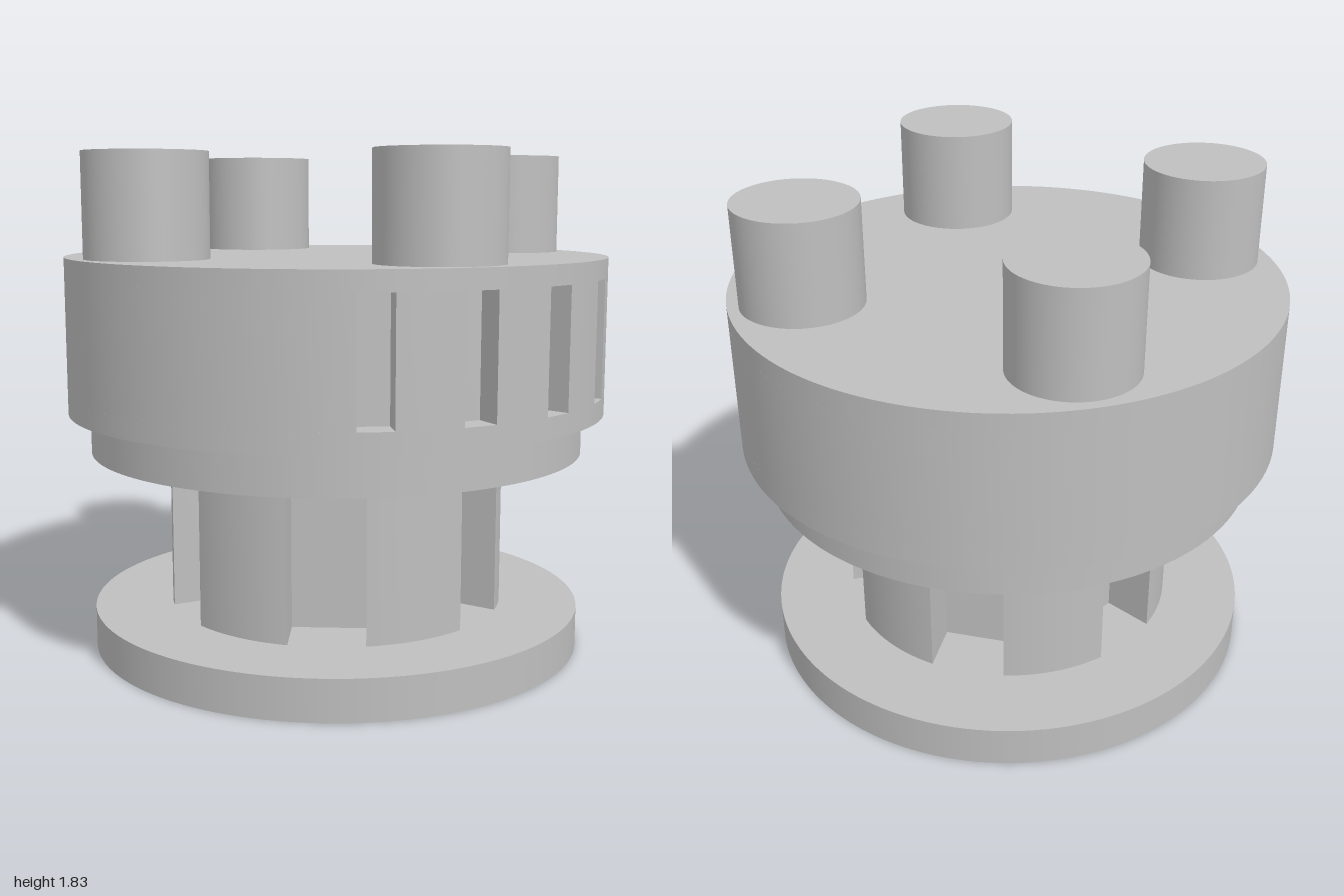
import * as THREE from 'three';
import { toCreasedNormals } from 'three/addons/utils/BufferGeometryUtils.js';

const SEGMENTS = 144;
const rad = THREE.MathUtils.degToRad;

export function createModel() {
  const group = new THREE.Group();
  const grey = new THREE.MeshStandardMaterial({ color: 0xbfbfbf });
  grey.name = 'plain grey';

  function add(name, geometry, x = 0, y = 0, z = 0) {
    const mesh = new THREE.Mesh(geometry, grey);
    mesh.name = name;
    mesh.position.set(x, y, z);
    group.add(mesh);
  }

  // Upright solid disc between two heights
  function disc(name, radius, y0, y1, x = 0, z = 0) {
    add(name, new THREE.CylinderGeometry(radius, radius, y1 - y0, SEGMENTS), x, (y0 + y1) / 2, z);
  }

  // Disc with straight-sided, flat-floored slots cut into its rim;
  // slot angles run from the front (+z) towards +x, in ascending order
  function slottedDisc(name, radius, floor, halfWidth, angles, y0, y1) {
    const points = [];
    const half = Math.asin(halfWidth / radius);
    const point = (a, r, side = 0) => points.push(new THREE.Vector2(
      r * Math.sin(a) + side * Math.cos(a), -r * Math.cos(a) + side * Math.sin(a)));
    angles.forEach((degrees, i) => {
      const a = rad(degrees);
      const next = i + 1 < angles.length ? rad(angles[i + 1]) : rad(angles[0] + 360);
      point(a, floor, -halfWidth);
      point(a, floor, halfWidth);
      const start = a + half, end = next - half;
      const steps = Math.ceil((end - start) / (2 * Math.PI / SEGMENTS));
      for (let s = 0; s <= steps; s++) point(start + (end - start) * s / steps, radius);
    });
    const geometry = new THREE.ExtrudeGeometry(new THREE.Shape(points), { depth: y1 - y0, bevelEnabled: false });
    geometry.rotateX(-Math.PI / 2);
    add(name, toCreasedNormals(geometry, 0.4), 0, y0, 0);
  }

  // Foot and grooved stem
  disc('base', 0.92, 0, 0.15);
  slottedDisc('groovedStem', 0.63, 0.424, 0.136, [30, 90, 150, 210, 270, 330], 0.15, 0.74);

  // Head, with five recessed windows on its front right side
  disc('collar', 0.92, 0.74, 0.89);
  disc('headLower', 1, 0.89, 0.965);
  slottedDisc('headWindows', 1, 0.9, 0.06, [-20, 0, 20, 40, 60], 0.965, 1.39);
  disc('headUpper', 1, 1.39, 1.46);

  // Four pegs on top
  for (let i = 0; i < 4; i++) {
    const a = i * Math.PI / 2;
    disc('peg', 0.22, 1.46, 1.83, 0.74 * Math.sin(a), 0.74 * Math.cos(a));
  }

  return group;
}
